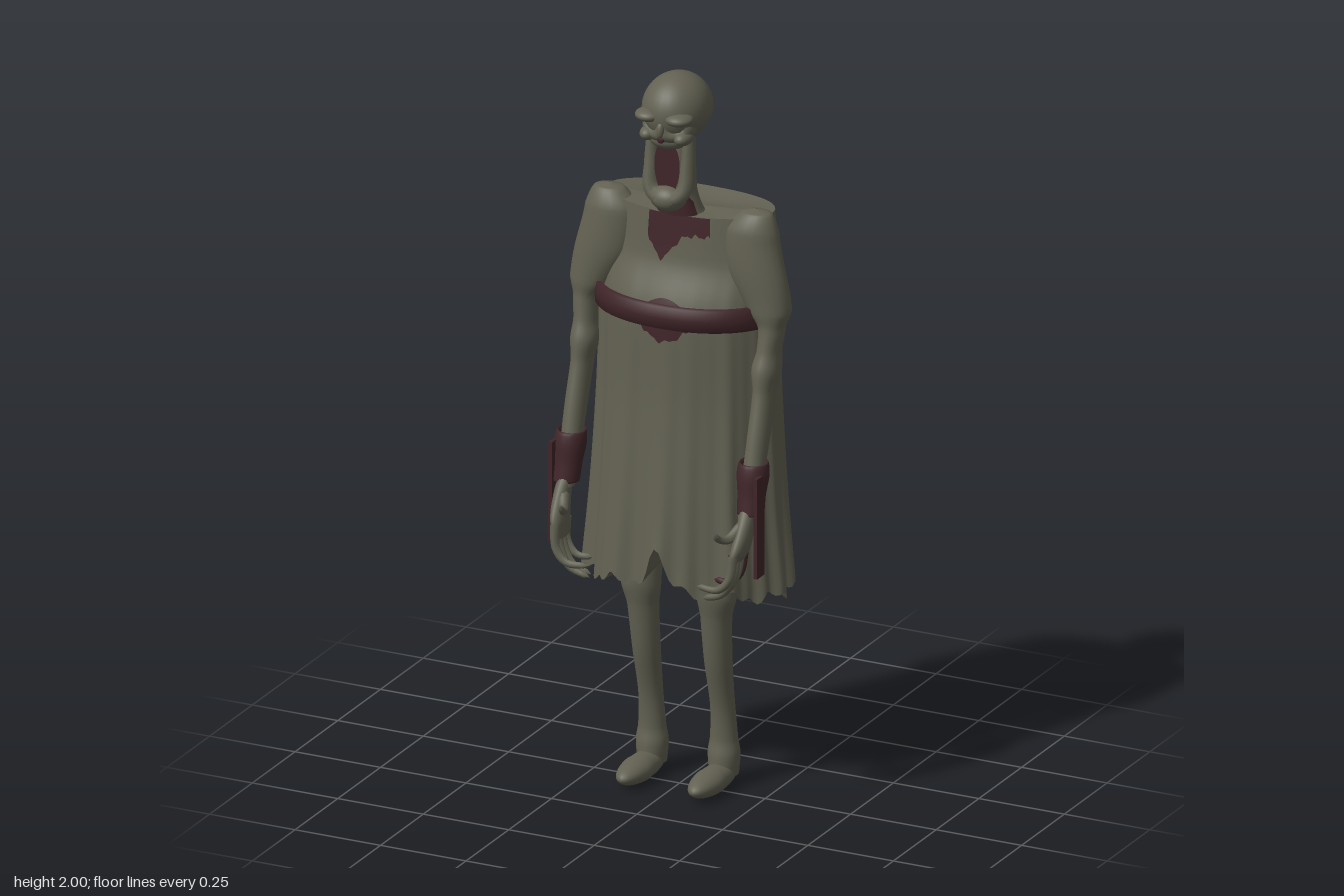
import * as THREE from 'three';

const V = (x, y, z) => new THREE.Vector3(x, y, z);
const { sin, cos, sign, abs, exp, max, PI } = Math;

// Surface from rings: fn(angle, v) gives a point; angle 0 is the front, v runs downward.
function rings(nu, nv, fn, from = -PI, to = PI) {
  const closed = to - from > 6.28, cols = closed ? nu : nu + 1;
  const pos = [], idx = [];
  for (let j = 0; j <= nv; j++)
    for (let i = 0; i < cols; i++) pos.push(...fn(from + (to - from) * i / nu, j / nv).toArray());
  for (let j = 0; j < nv; j++)
    for (let i = 0; i < nu; i++) {
      const a = j * cols + i, b = j * cols + (i + 1) % cols, c = a + cols, d = b + cols;
      idx.push(a, c, b, b, c, d);
    }
  const g = new THREE.BufferGeometry();
  g.setAttribute('position', new THREE.Float32BufferAttribute(pos, 3));
  g.setIndex(idx);
  g.computeVertexNormals();
  return g;
}

// Upright limb from rows of [y, x, z, radiusX, radiusZ], top first.
function limb(rows, side = 1, steps = 6) {
  const mid = new THREE.CatmullRomCurve3(rows.map(r => V(r[1] * side, r[0], r[2])));
  const rad = new THREE.CatmullRomCurve3(rows.map(r => V(r[3], 0, r[4])));
  return rings(20, (rows.length - 1) * steps, (a, v) => {
    const m = mid.getPoint(v), r = rad.getPoint(v);
    return V(m.x + r.x * sin(a), m.y, m.z + r.z * cos(a));
  });
}

// Tube that tapers from r0 to r1 along its points.
function taper(points, r0, r1) {
  const path = new THREE.CatmullRomCurve3(points);
  const g = new THREE.TubeGeometry(path, 14, 1, 8);
  const p = g.attributes.position, uv = g.attributes.uv;
  for (let i = 0; i < p.count; i++) {
    const t = uv.getX(i), c = path.getPointAt(t);
    const r = t > 0.99 ? 0.0005 : r0 + (r1 - r0) * t;
    const q = V(p.getX(i), p.getY(i), p.getZ(i)).sub(c).multiplyScalar(r).add(c);
    p.setXYZ(i, q.x, q.y, q.z);
  }
  g.computeVertexNormals();
  return g;
}

const ball = (x, y, z, rx, ry, rz) =>
  new THREE.SphereGeometry(1, 32, 24).scale(rx, ry, rz).translate(x, y, z);

// Move every vertex of a geometry by a rule.
function sculpt(g, rule) {
  const p = g.attributes.position;
  for (let i = 0; i < p.count; i++) {
    const q = rule(V(p.getX(i), p.getY(i), p.getZ(i)));
    p.setXYZ(i, q.x, q.y, q.z);
  }
  g.computeVertexNormals();
  return g;
}

// Oval outline with its own front and back depth.
const oval = (a, y, w, zf, zb, zm = -0.06) =>
  V(w * sign(sin(a)) * abs(sin(a)) ** 0.92, y, zm + cos(a) * (cos(a) > 0 ? zf - zm : zm - zb));

// Cloak levels: height, then half width, front z, back z.
const levels = [
  [1.61, 0.24, 0.03, -0.192], [1.48, 0.25, 0.045, -0.202], [1.35, 0.25, 0.095, -0.207],
  [1.1, 0.255, 0.105, -0.222], [0.82, 0.268, 0.128, -0.237], [0.585, 0.287, 0.145, -0.243],
];
const heightCurve = new THREE.CatmullRomCurve3(levels.map(l => V(l[0], 0, 0)));
const shapeCurve = new THREE.CatmullRomCurve3(levels.map(l => V(l[1], l[2], l[3])));

function cloakPoint(a, t, out = 0) {
  const s = shapeCurve.getPoint(t);
  const pleat = 1 + t ** 1.6 * (0.035 * sin(10 * a + 0.5) + 0.018 * sin(17 * a + 2) + 0.012 * sin(29 * a));
  const ragged = 0.012 * sin(11 * a) + 0.01 * sin(27 * a + 1) - 0.016 * cos(2 * a + PI)
    + 0.1 * exp(-((a / 0.1) ** 2));
  const p = oval(a, 0, (s.x + out) * pleat, s.y + out, s.z - out);
  p.z = -0.06 + (p.z + 0.06) * pleat;
  p.y = heightCurve.getPoint(t).x + t ** 6 * ragged + 0.012 * sin(a) ** 2 * (1 - t) ** 6;
  return p;
}

export function createModel() {
  const root = new THREE.Group();
  const mat = (name, color) =>
    new THREE.MeshStandardMaterial({ name, color, side: THREE.DoubleSide });
  const grey = mat('grey green', 0x626152);
  const red = mat('dark red', 0x402529);
  const add = (name, geometry, material = grey) => {
    const m = new THREE.Mesh(geometry, material);
    m.name = name;
    root.add(m);
  };

  // Cloak: pleated wall, shallow top and gathered underside
  add('cloak', rings(160, 40, (a, t) => cloakPoint(a, t)));
  add('cloakTop', rings(96, 8, (a, v) => {
    const p = V(0, 1.612, -0.05).lerp(cloakPoint(a, 0), v);
    p.y -= 0.012 * sin(v * PI) * max(0, -cos(a));
    return p;
  }));
  add('cloakUnderside', rings(160, 8, (a, v) => {
    const p = cloakPoint(a, 1).lerp(V(0, 0.66, 0), v);
    p.y += (0.02 + 0.012 * sin(14 * a)) * sin(v * PI);
    return p;
  }));

  // Belt: a rounded band, standing proud at the front and snug at the back
  const band = [[1.385, 0], [1.383, 0.014], [1.352, 0.018], [1.322, 0.014], [1.32, 0]];
  add('belt', rings(96, 4, (a, v) => {
    const [y, o] = band[Math.round(v * 4)];
    return oval(a, y, 0.249 + o * 0.8, 0.113 + o, -0.203 - o * 0.7);
  }), red);

  // Stains laid just over the cloth, between an upper and a lower edge
  const stain = (name, a0, a1, top, bottom) => add(name, rings(32, 8, (a, v) => {
    const u = (a - a0) / (a1 - a0);
    return cloakPoint(a, top(u) + (bottom(u) - top(u)) * v, 0.005);
  }, a0, a1), red);
  const jag = u => 0.007 * sin(u * 31) + 0.005 * sin(u * 57);
  stain('chestStain', -0.27, 0.4, () => 0,
    u => 0.08 + 0.11 * exp(-(((u - 0.25) / 0.2) ** 2)) + jag(u));
  stain('frontBeltStain', -0.4, 0.4, u => 0.39 - 0.05 * sin(u * PI) ** 3,
    u => 0.42 + 0.045 * sin(u * PI) ** 2 + jag(u) * 0.5);
  stain('backBeltStain', PI - 0.5, PI + 0.5, () => 0.4,
    u => 0.425 + 0.065 * sin(u * PI) ** 3 + jag(u));

  // Neck and its stain
  add('neck', limb([
    [1.87, 0, -0.01, 0.04, 0.04], [1.76, 0, -0.003, 0.042, 0.042],
    [1.67, 0, -0.003, 0.046, 0.043], [1.62, 0, -0.01, 0.06, 0.048], [1.58, 0, -0.03, 0.085, 0.05],
  ]));
  add('neckStain', rings(16, 3, (a, v) =>
    V((0.05 + 0.014 * v) * sin(a), 1.655 + 0.008 * sin(9 * a) * (1 - v) - 0.045 * v,
      -0.004 + 0.048 * cos(a)), -1.2, 1.2), red);

  // Skull and face
  add('skull', sculpt(ball(0, 1.905, 0.012, 0.092, 0.096, 0.105), p => {
    if (p.y < 1.89) p.x *= 1 - (1.89 - p.y) * 2;
    return p;
  }));
  add('face', sculpt(ball(0, 1.87, 0.055, 0.075, 0.05, 0.065), p => {
    const socket = ((abs(p.x) - 0.036) / 0.02) ** 2 + ((p.y - 1.876) / 0.016) ** 2;
    if (p.z > 0.05) p.z -= 0.025 * exp(-socket);
    return p;
  }));
  add('upperJaw', ball(0, 1.836, 0.062, 0.055, 0.03, 0.042));
  add('nose', ball(0, 1.872, 0.112, 0.011, 0.022, 0.012));
  add('noseHole', ball(0, 1.846, 0.112, 0.01, 0.01, 0.005), red);
  add('mouth', sculpt(new THREE.CircleGeometry(1, 28), p =>
    V(p.x * (0.037 + 0.005 * p.y), 1.752 + p.y * 0.078, 0.074)), red);
  add('chin', ball(0, 1.669, 0.066, 0.05, 0.036, 0.042));

  for (const s of [1, -1]) {
    const side = s > 0 ? 'left' : 'right';
    const part = (name, geometry, material) => add(side + name, geometry, material);

    part('Brow', ball(s * 0.044, 1.904, 0.09, 0.038, 0.018, 0.038));
    part('Cheek', ball(s * 0.05, 1.848, 0.075, 0.024, 0.02, 0.036));
    part('Eye', ball(s * 0.036, 1.876, 0.09, 0.01, 0.009, 0.01));
    part('Jaw', taper([V(s * 0.053, 1.845, 0.055), V(s * 0.053, 1.76, 0.063),
      V(s * 0.046, 1.69, 0.075), V(0, 1.66, 0.085)], 0.015, 0.024));

    // Arm with a wide draped shoulder and a knobbly elbow
    part('Arm', limb([
      [1.645, 0.215, -0.02, 0.002, 0.002], [1.635, 0.215, -0.02, 0.042, 0.032],
      [1.585, 0.205, -0.016, 0.075, 0.052], [1.48, 0.22, -0.008, 0.083, 0.052],
      [1.375, 0.258, -0.008, 0.062, 0.052], [1.33, 0.27, 0, 0.036, 0.042],
      [1.27, 0.268, 0.01, 0.032, 0.042], [1.22, 0.265, 0.02, 0.038, 0.05],
      [1.16, 0.266, 0.035, 0.029, 0.042], [1.05, 0.267, 0.07, 0.029, 0.038],
      [0.93, 0.266, 0.108, 0.028, 0.03], [0.84, 0.265, 0.135, 0.024, 0.026],
    ], s));
    part('Cuff', limb([
      [0.965, 0.266, 0.095, 0.025, 0.025], [0.985, 0.266, 0.098, 0.038, 0.038],
      [0.955, 0.267, 0.104, 0.044, 0.042], [0.9, 0.268, 0.115, 0.038, 0.036],
      [0.85, 0.27, 0.125, 0.036, 0.034], [0.855, 0.27, 0.125, 0.02, 0.02],
    ], s, 4), red);
    part('Strap', new THREE.BoxGeometry(0.011, 0.28, 0.042).translate(s * 0.3, 0.82, 0.137), red);

    // Hand with curled fingers, one stained
    part('Palm', limb([
      [0.87, 0.266, 0.13, 0.02, 0.022], [0.82, 0.268, 0.15, 0.021, 0.034],
      [0.76, 0.263, 0.172, 0.02, 0.045], [0.715, 0.25, 0.178, 0.008, 0.036],
    ], s));
    for (let f = 0; f < 4; f++) {
      const z = 0.143 + f * 0.022, drop = [0.02, 0, 0, 0.02][f];
      part('Finger', taper([V(s * 0.26, 0.755, z), V(s * 0.253, 0.69, z + 0.008),
        V(s * 0.222, 0.638 + drop, z + 0.012), V(s * (0.178 - f * 0.006), 0.618 + drop * 2, z + 0.01)],
      0.014, 0.008), s > 0 && f === 0 ? red : grey);
    }
    part('Thumb', taper([V(s * 0.26, 0.82, 0.16), V(s * 0.24, 0.795, 0.2),
      V(s * 0.228, 0.805, 0.23), V(s * 0.226, 0.825, 0.25)], 0.016, 0.007));

    // Leg and foot
    part('Leg', limb([
      [0.74, 0.1, 0, 0.045, 0.045], [0.6, 0.107, 0.004, 0.054, 0.048],
      [0.55, 0.11, 0.006, 0.055, 0.046], [0.49, 0.107, 0, 0.043, 0.041],
      [0.36, 0.105, -0.016, 0.038, 0.038], [0.22, 0.105, -0.042, 0.034, 0.031],
      [0.13, 0.105, -0.05, 0.038, 0.034], [0.085, 0.105, -0.05, 0.044, 0.042],
      [0.03, 0.105, -0.05, 0.038, 0.045],
    ], s));
    part('Foot', sculpt(ball(0, 0.034, 0.016, 0.045, 0.034, 0.117), p =>
      V(s * 0.105 + p.x * (p.z > 0.02 ? 1 : 0.92), p.y, p.z)));
  }
  return root;
}
